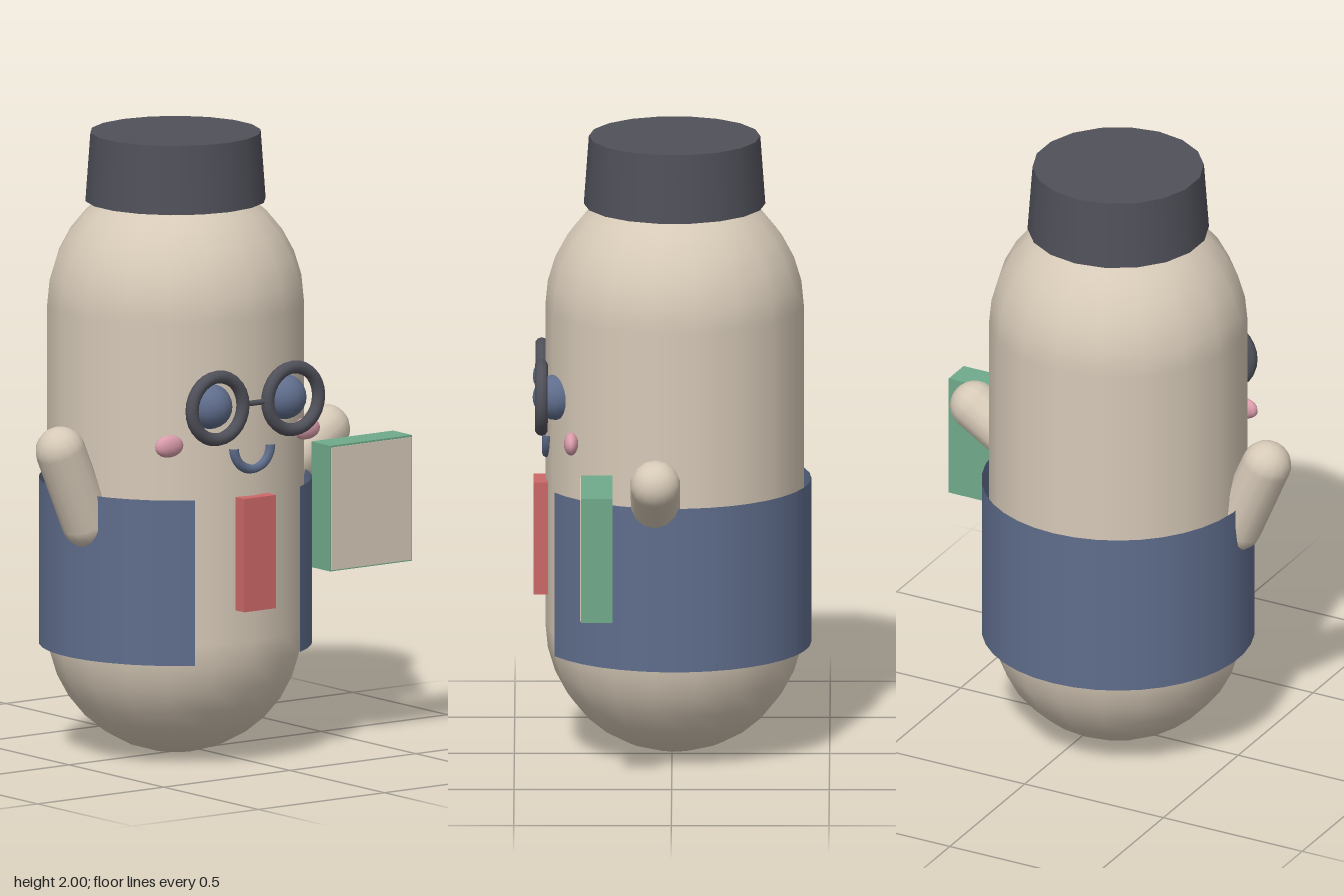
import * as THREE from 'three';

const CX = -0.072; // body axis
const CZ = -0.008;

function material(name, color, extra = {}) {
  const m = new THREE.MeshStandardMaterial({ color, ...extra });
  m.name = name;
  return m;
}

export function createModel() {
  const group = new THREE.Group();
  const cream = material('cream', 0xd6c9b7);
  const navy = material('slateBlue', 0x5f6d8c);
  const cloth = material('slateBlueCloth', 0x5f6d8c, { side: THREE.DoubleSide });
  const dark = material('charcoal', 0x50505a);
  const red = material('red', 0xcc6868);
  const pink = material('pink', 0xdb9dac);
  const green = material('green', 0x70aa8a);

  const add = (name, geometry, mat, x, y, z) => {
    const mesh = new THREE.Mesh(geometry, mat);
    mesh.name = name;
    mesh.position.set(x, y, z);
    group.add(mesh);
    return mesh;
  };

  // Capsule running between two end centres
  const limb = (name, a, b, r) => {
    const from = new THREE.Vector3(...a), to = new THREE.Vector3(...b);
    const dir = to.clone().sub(from);
    const mid = from.clone().add(to).multiplyScalar(0.5);
    const mesh = add(name, new THREE.CapsuleGeometry(r, dir.length(), 6, 14), cream, mid.x, mid.y, mid.z);
    mesh.quaternion.setFromUnitVectors(new THREE.Vector3(0, 1, 0), dir.normalize());
  };

  // Body and hat
  const body = new THREE.CapsuleGeometry(0.41, 1.035, 8, 18).rotateY(Math.PI / 2);
  add('body', body, cream, CX, 0.932, CZ);
  add('hat', new THREE.CylinderGeometry(0.272, 0.288, 0.22, 18), dark, CX, 1.89, CZ);

  // Open-fronted vest
  const gap = 0.5;
  const vest = new THREE.CylinderGeometry(0.434, 0.434, 0.533, 32, 1, true, gap, Math.PI * 2 - gap * 2);
  add('vest', vest, cloth, CX, 0.62, CZ);

  // Arms
  limb('rightArm', [-0.47, 0.79, 0.052], [-0.573, 1.03, 0.052], 0.08);
  limb('leftArm', [0.25, 0.85, 0.052], [0.476, 0.99, 0.052], 0.08);

  // Eyes, glasses and cheeks
  for (const [side, s] of [['right', -1], ['left', 1]]) {
    add(side + 'Eye', new THREE.SphereGeometry(0.072, 16, 12), navy, CX + s * 0.147, 1.183, 0.37);
    add(side + 'GlassesRim', new THREE.TorusGeometry(0.101, 0.021, 10, 28), dark, CX + s * 0.15, 1.183, 0.414);
    const cheek = add(side + 'Cheek', new THREE.SphereGeometry(1, 12, 10), pink, CX + s * 0.271, 1.06, 0.32);
    cheek.scale.set(0.055, 0.036, 0.023);
  }
  const bridge = new THREE.CylinderGeometry(0.009, 0.009, 0.1, 8).rotateZ(Math.PI / 2);
  add('glassesBridge', bridge, dark, CX, 1.185, 0.414);

  // Smile
  const mouth = new THREE.TorusGeometry(0.072, 0.016, 8, 18, Math.PI).rotateZ(Math.PI);
  add('mouth', mouth, navy, CX, 1.042, 0.397);

  // Tie
  add('tie', new THREE.BoxGeometry(0.126, 0.365, 0.046), red, CX, 0.702, 0.416);

  // Book with a pale front page
  add('bookCover', new THREE.BoxGeometry(0.325, 0.405, 0.1), green, 0.482, 0.783, 0.238);
  add('bookPage', new THREE.BoxGeometry(0.317, 0.395, 0.006), cream, 0.482, 0.782, 0.288);

  return group;
}
